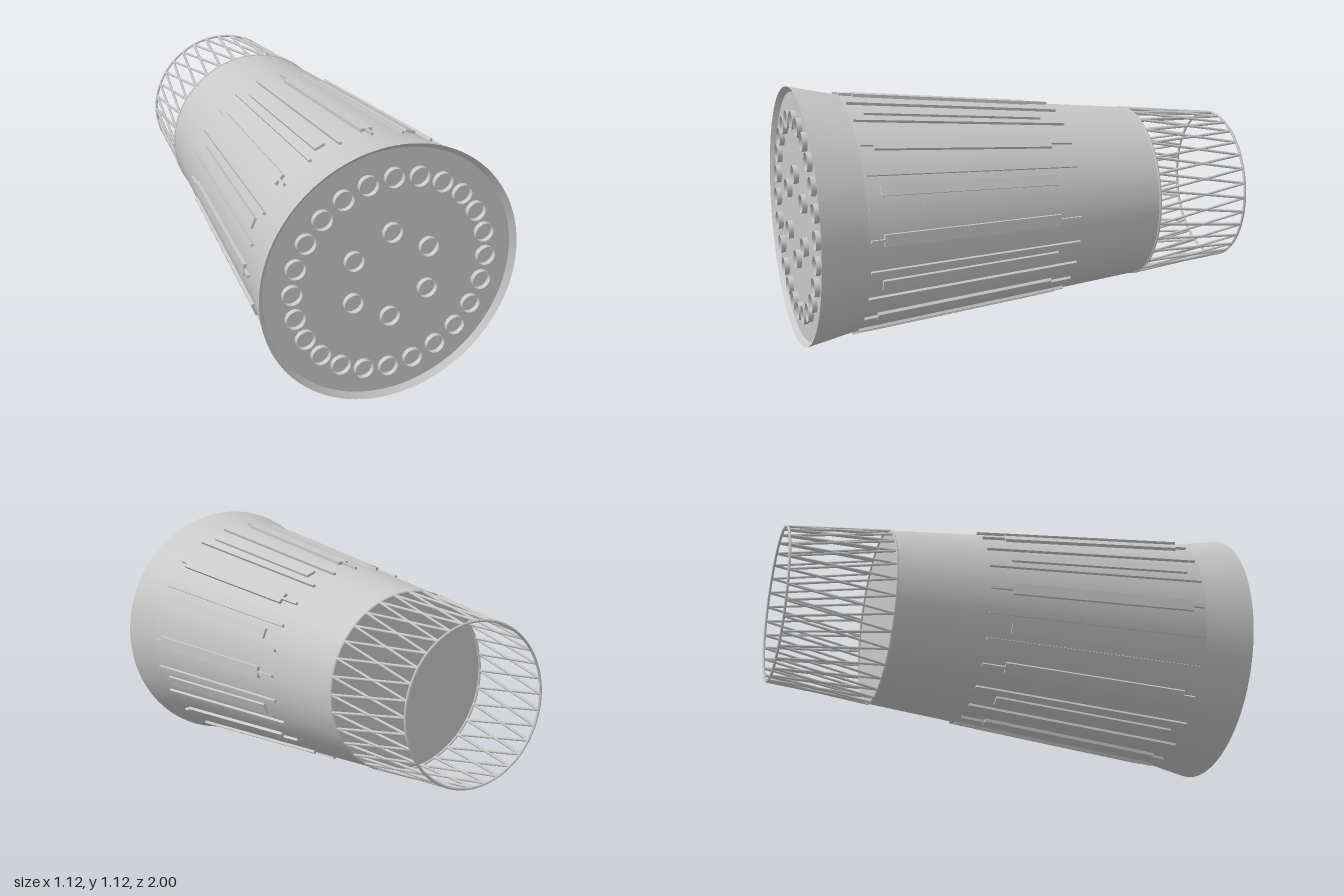
import * as THREE from 'three';

export function createModel() {
  const model = new THREE.Group();
  const hull = new THREE.Group(); // long axis along z
  hull.name = 'taperedStage';
  hull.position.y = 0.559;
  model.add(hull);

  const grey = new THREE.MeshStandardMaterial({ color: 0xc8c8c8 });
  grey.name = 'hull grey';
  const greyThin = new THREE.MeshStandardMaterial({ color: 0xc8c8c8, side: THREE.DoubleSide });
  greyThin.name = 'hull grey thin';

  const add = (parent, name, geometry, material = grey) => {
    const mesh = new THREE.Mesh(geometry, material);
    mesh.name = name;
    parent.add(mesh);
    return mesh;
  };

  // Open conical shell between two stations on the z axis
  const shell = (name, r0, z0, r1, z1) => {
    const g = new THREE.CylinderGeometry(r1, r0, z1 - z0, 96, 1, true);
    g.rotateX(Math.PI / 2).translate(0, 0, (z0 + z1) / 2);
    return add(hull, name, g, greyThin);
  };
  shell('mainBody', 0.385, -0.545, 0.515, 0.8);
  shell('flaredSkirt', 0.515, 0.8, 0.558, 1);
  shell('bevelledRim', 0.536, 0.978, 0.558, 1);

  // Closing plates
  add(hull, 'enginePlate', new THREE.CircleGeometry(0.536, 96), greyThin).position.z = 0.978;
  add(hull, 'rearBulkhead', new THREE.CircleGeometry(0.385, 96), greyThin).position.z = -0.545;

  // Engine nozzles: outer ring of 24, inner ring of 6
  const nozzle = new THREE.CylinderGeometry(0.04, 0.04, 0.022, 32, 1, true).rotateX(Math.PI / 2);
  for (const [count, radius] of [[24, 0.42], [6, 0.186]]) {
    for (let i = 0; i < count; i++) {
      const a = (i / count) * Math.PI * 2;
      add(hull, 'engineNozzle', nozzle, greyThin)
        .position.set(Math.sin(a) * radius, Math.cos(a) * radius, 0.989);
    }
  }

  // Raised strips lying on the body's taper
  const slope = (0.515 - 0.385) / 1.345;
  const tilt = Math.atan(slope);
  const strip = (name, degrees, width, z0, z1, height) => {
    const holder = new THREE.Group();
    holder.name = name + 'Holder';
    holder.rotation.z = THREE.MathUtils.degToRad(degrees);
    const mid = (z0 + z1) / 2;
    const thick = 0.02;
    const box = add(holder, name,
      new THREE.BoxGeometry(width, thick, (z1 - z0) / Math.cos(tilt)));
    box.position.set(0, 0.385 + slope * (mid + 0.545) + height - thick / 2, mid);
    box.rotation.x = -tilt;
    hull.add(holder);
  };
  for (let i = 0; i < 8; i++) {
    const a = i * 45;
    for (const d of [0, 15, 30]) strip('thinRail', a + d, 0.011, -0.155, 0.79, 0.012);
    strip('widePanel', a, 0.05, -0.055, 0.735, 0.013);
    strip('widePanel', a + 22.5, 0.045, -0.055, 0.735, 0.01);
  }

  // Lattice adapter: end hoops joined by crossing struts
  const hoop = (name, radius, z) => {
    add(hull, name, new THREE.TorusGeometry(radius, 0.006, 6, 96)).position.z = z;
  };
  hoop('latticeFrontHoop', 0.384, -0.548);
  hoop('latticeRearHoop', 0.338, -0.994);

  const up = new THREE.Vector3(0, 1, 0);
  const nodes = 32;
  const node = (i, r, z) => {
    const a = (i / nodes) * Math.PI * 2;
    return new THREE.Vector3(Math.cos(a) * r, Math.sin(a) * r, z);
  };
  for (let i = 0; i < nodes; i++) {
    for (const step of [-1, 1]) {
      const from = node(i, 0.384, -0.548);
      const to = node(i + step, 0.338, -0.994);
      const dir = to.clone().sub(from);
      const strut = add(hull, 'latticeStrut',
        new THREE.CylinderGeometry(0.006, 0.006, dir.length(), 6));
      strut.position.copy(from).add(to).multiplyScalar(0.5);
      strut.quaternion.setFromUnitVectors(up, dir.normalize());
    }
  }
  return model;
}
